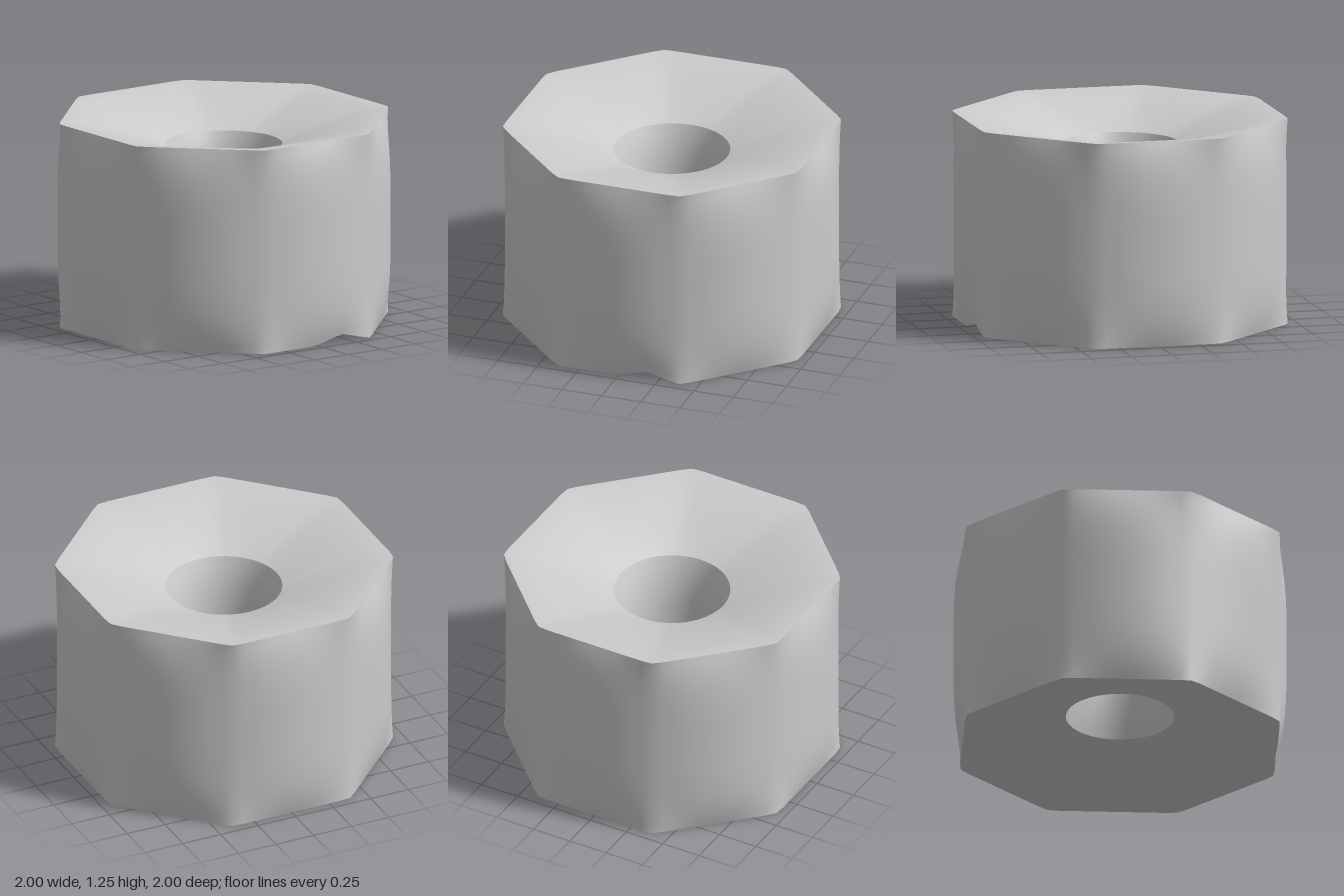
import * as THREE from 'three';

const H = 1.25, SEG = 96, APOTHEM = 0.945;
const BORE_TOP = 0.35, BORE_BOTTOM = 0.325, DISH_TOP = 0.17, DISH_BOTTOM = 0.19;
const { lerp } = THREE.MathUtils;

// Radius of the softly cornered octagonal rim
function rimRadius(a) {
  const step = Math.PI / 4;
  const d = a - Math.round(a / step) * step;
  return Math.min(APOTHEM / Math.cos(d), 1.016);
}

// The outside swells from the octagonal rims to a round waist
function sideRadius(a, v) {
  const rim = rimRadius(a);
  return rim + (Math.max(1, rim - 0.012) - rim) * (1 - Math.abs(2 * v - 1) ** 4);
}

// Small chip in the lower rim on the left side
function chip(a) {
  const z = rimRadius(a) * Math.cos(a);
  return Math.sin(a) > 0.5 ? 0.05 * Math.max(0, 1 - Math.abs(z + 0.18) / 0.2) : 0;
}

// Closed band of rings; at(a, v) returns [radius, height]
function band(name, rows, at, material) {
  const pos = [], index = [];
  for (let i = 0; i <= rows; i++) {
    for (let j = 0; j < SEG; j++) {
      const a = (j / SEG) * Math.PI * 2;
      const [r, y] = at(a, i / rows);
      pos.push(r * Math.sin(a), y, r * Math.cos(a));
      if (i === rows) continue;
      const k = (j + 1) % SEG, p = i * SEG, q = p + SEG;
      index.push(p + j, p + k, q + k, p + j, q + k, q + j);
    }
  }
  const geo = new THREE.BufferGeometry();
  geo.setAttribute('position', new THREE.Float32BufferAttribute(pos, 3));
  geo.setIndex(index);
  geo.computeVertexNormals();
  const mesh = new THREE.Mesh(geo, material);
  mesh.name = name;
  return mesh;
}

export function createModel() {
  const group = new THREE.Group();
  group.name = 'octagonalRing';
  const mat = new THREE.MeshStandardMaterial({ color: 0xcccccc });

  // Bulging outer wall, from the bottom up
  group.add(band('outerWall', 28, (a, v) =>
    [sideRadius(a, v), v * H + chip(a) * (1 - v) ** 8], mat));

  // Dished top, from the rim inward
  group.add(band('topFace', 16, (a, v) =>
    [lerp(rimRadius(a), BORE_TOP, v), H - DISH_TOP * v ** 1.4], mat));

  // Waisted hole, from the top down
  group.add(band('bore', 16, (a, v) => {
    const end = lerp(BORE_TOP, BORE_BOTTOM, v);
    return [lerp(0.277, end, Math.abs(2 * v - 1) ** 2.5), lerp(H - DISH_TOP, DISH_BOTTOM, v)];
  }, mat));

  // Dished underside, from the hole outward
  group.add(band('bottomFace', 16, (a, v) =>
    [lerp(BORE_BOTTOM, rimRadius(a), v), DISH_BOTTOM * (1 - v) ** 1.4 + chip(a) * v ** 6], mat));

  return group;
}
